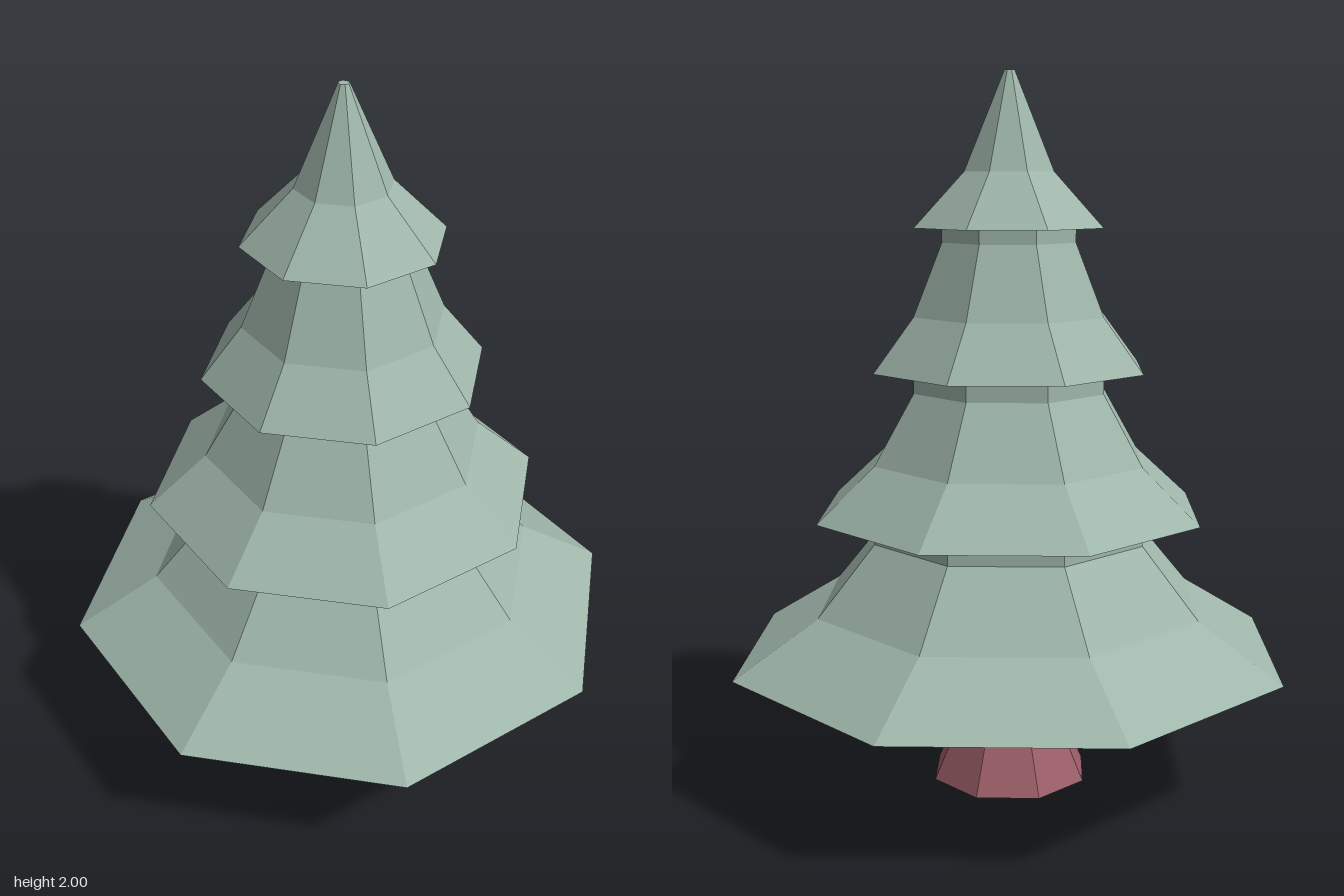
import * as THREE from 'three';

const SIDES = 8;

// Faceted turned part from [radius, height] pairs listed bottom to top
function turned(name, profile, material) {
  const points = profile.map(([r, y]) => new THREE.Vector2(r, y));
  const geometry = new THREE.LatheGeometry(points, SIDES).toNonIndexed();
  geometry.computeVertexNormals();
  const mesh = new THREE.Mesh(geometry, material);
  mesh.name = name;
  return mesh;
}

export function createModel() {
  const needleGreen = new THREE.MeshStandardMaterial({ color: 0x9fb6aa, flatShading: true });
  needleGreen.name = 'needleGreen';
  const barkRed = new THREE.MeshStandardMaterial({ color: 0x9d5f69, flatShading: true });
  barkRed.name = 'barkRed';

  const tree = new THREE.Group();
  tree.name = 'tree';

  // Flared trunk with a closed base
  tree.add(turned('trunk', [[0, 0], [0.23, 0], [0.16, 0.155], [0.11, 0.37]], barkRed));

  // Stacked skirts of foliage, each with a flat underside, a flare and a short neck
  tree.add(turned('foliage', [
    [0, 0.37], [0.805, 0.37], [0.565, 0.52], [0.4, 0.715], [0.4, 0.785],
    [0.563, 0.785], [0.397, 0.935], [0.282, 1.13], [0.282, 1.19],
    [0.396, 1.19], [0.28, 1.34], [0.197, 1.54], [0.197, 1.58],
    [0.277, 1.58], [0.132, 1.73], [0.015, 2], [0, 2],
  ], needleGreen));

  return tree;
}
